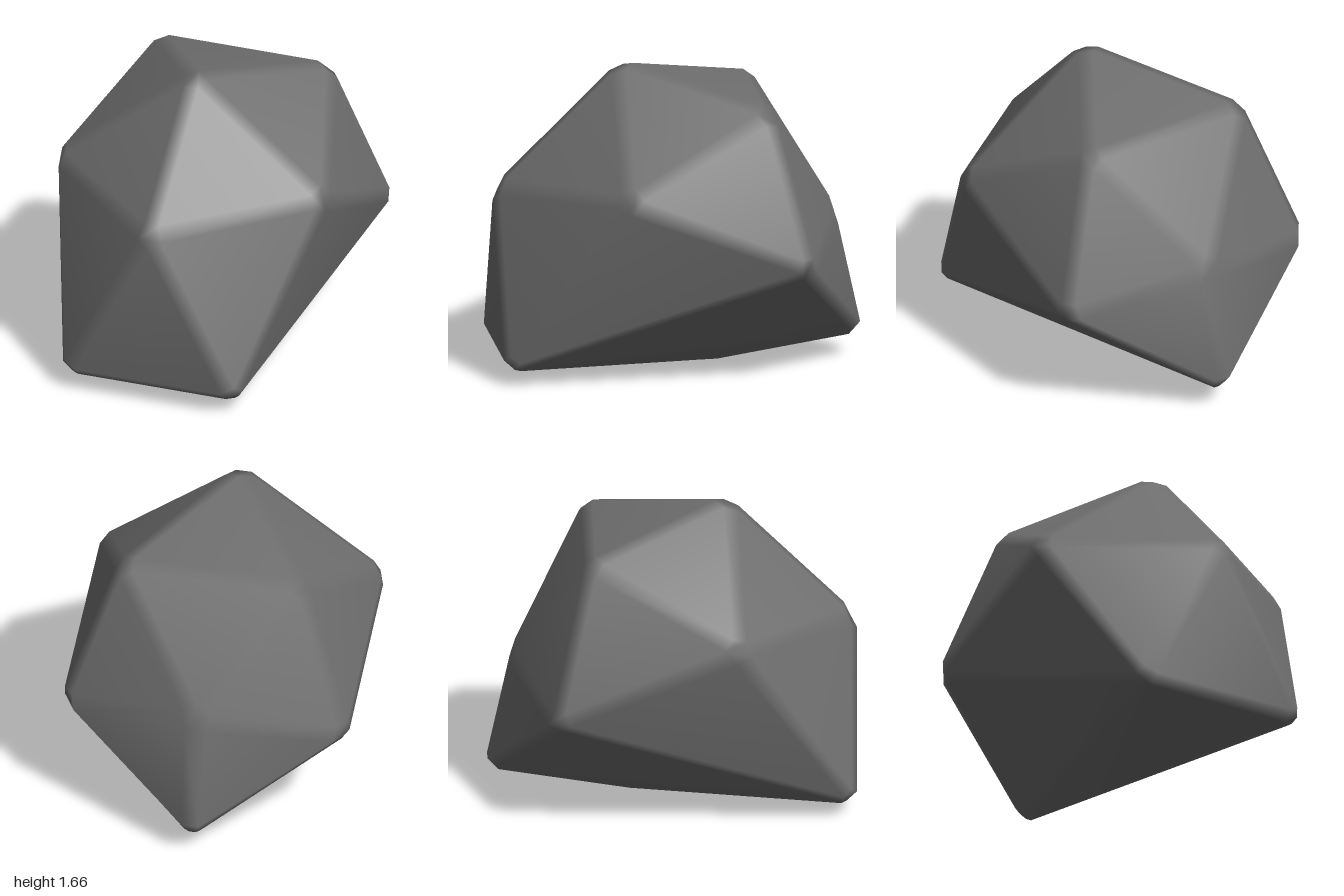
import * as THREE from 'three';

// Corners of the rock; lowercase letters are the mirrored (-x) twins
const corners = {
  P: [0, 1.68, 0.33],       // peak
  F: [0, 1.01, 1.01],       // front
  M: [0.79, 1.08, 0.37],    // shoulder
  G: [0.5, 0.085, 1.0],     // front foot
  U: [0.51, 1.49, -0.45],   // upper back
  W: [0.795, 0.66, -0.64],  // rear flank
  B: [0, 0.81, -0.87],      // back
  T: [0, 0.125, -1.015],    // tail
  N: [0, 0, -0.23],         // underside
};
const paired = 'MGUW';
const mirrored = ['FPM', 'FMG', 'PMU', 'MUW', 'MWG', 'GWT', 'GTN', 'UWB', 'WTB'];
const central = ['FGg', 'PUu', 'GgN', 'UuB'];
const BEVEL = 0.09;

function createRockGeometry() {
  const points = {};
  for (const [key, [x, y, z]] of Object.entries(corners)) {
    points[key] = new THREE.Vector3(x, y, z);
    if (paired.includes(key)) points[key.toLowerCase()] = new THREE.Vector3(-x, y, z);
  }
  const flip = (face) => [...face].map((k) => (paired.includes(k) ? k.toLowerCase() : k)).join('');
  const faces = [...mirrored, ...mirrored.map(flip), ...central];

  const centre = new THREE.Vector3(0, 0.75, 0);
  const vertices = [];
  const indices = [];
  const addVertex = (v) => vertices.push(v) - 1;

  // Adds a polygon as a fan, turned to face away from the centre
  function addPolygon(ids) {
    const normal = new THREE.Vector3();
    const middle = new THREE.Vector3();
    ids.forEach((id, i) => {
      const a = vertices[id];
      const b = vertices[ids[(i + 1) % ids.length]];
      normal.add(a.clone().sub(centre).cross(b.clone().sub(centre)));
      middle.add(a);
    });
    middle.divideScalar(ids.length).sub(centre);
    const order = normal.dot(middle) < 0 ? [...ids].reverse() : ids;
    for (let i = 1; i < order.length - 1; i++) indices.push(order[0], order[i], order[i + 1]);
  }

  const edges = {};
  const rings = {};
  for (const face of faces) {
    // Inset main facet
    const keys = [...face];
    const middle = new THREE.Vector3();
    keys.forEach((k) => middle.addScaledVector(points[k], 1 / 3));
    const ids = keys.map((k) => {
      const inward = middle.clone().sub(points[k]).normalize();
      const id = addVertex(points[k].clone().addScaledVector(inward, k === 'N' ? 0.02 : BEVEL));
      (rings[k] ??= []).push(id);
      return id;
    });
    addPolygon(ids);
    keys.forEach((k, i) => {
      const j = (i + 1) % 3;
      const [a, b] = k < keys[j] ? [i, j] : [j, i];
      (edges[keys[a] + keys[b]] ??= []).push([ids[a], ids[b]]);
    });
  }

  // Bevels along the edges
  for (const [[a, b], [c, d]] of Object.values(edges)) addPolygon([a, b, d, c]);

  // Caps over the corners
  for (const [key, ids] of Object.entries(rings)) {
    const axis = points[key].clone().sub(centre).normalize();
    const side = new THREE.Vector3(0.31, 0.47, 0.83).cross(axis).normalize();
    const up = axis.clone().cross(side);
    const angle = (id) => {
      const d = vertices[id].clone().sub(points[key]);
      return Math.atan2(d.dot(up), d.dot(side));
    };
    addPolygon(ids.sort((a, b) => angle(a) - angle(b)));
  }

  const geometry = new THREE.BufferGeometry().setFromPoints(vertices);
  geometry.setIndex(indices);
  geometry.computeVertexNormals();
  return geometry;
}

export function createModel() {
  const stoneGrey = new THREE.MeshStandardMaterial({ color: 0x6e6e6e });
  stoneGrey.name = 'stoneGrey';

  const rock = new THREE.Mesh(createRockGeometry(), stoneGrey);
  rock.name = 'rock';

  const model = new THREE.Group();
  model.name = 'boulder';
  model.add(rock);
  return model;
}
